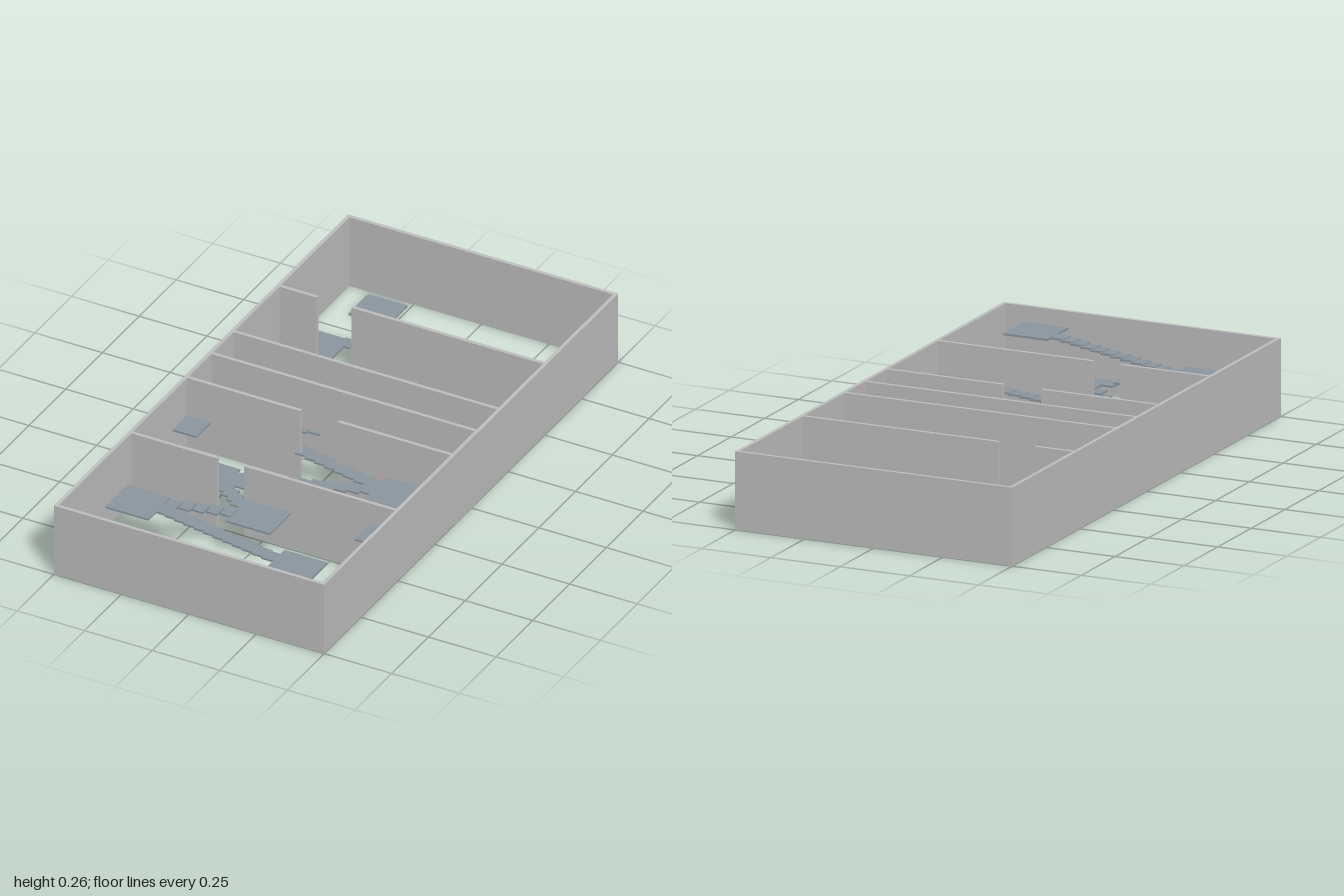
import * as THREE from 'three';

export function createModel() {
  const model = new THREE.Group();
  const wallGrey = new THREE.MeshStandardMaterial({ color: 0xbdbdbd });
  wallGrey.name = 'wallGrey';
  const slateGrey = new THREE.MeshStandardMaterial({ color: 0x8b969e });
  slateGrey.name = 'slateGrey';

  const H = 0.265; // wall height
  const T = 0.013; // wall thickness
  const SLAB = 0.007; // platform and tread thickness

  // Box given by its extents on each axis
  function box(name, material, x0, x1, y0, y1, z0, z1, parent = model) {
    const mesh = new THREE.Mesh(new THREE.BoxGeometry(x1 - x0, y1 - y0, z1 - z0), material);
    mesh.position.set((x0 + x1) / 2, (y0 + y1) / 2, (z0 + z1) / 2);
    mesh.name = name;
    parent.add(mesh);
  }

  // Open outer enclosure
  box('leftWall', wallGrey, 0.5 - T, 0.5, 0, H, -1, 1);
  box('rightWall', wallGrey, -0.5, -0.5 + T, 0, H, -1, 1);
  box('frontWall', wallGrey, -0.5 + T, 0.5 - T, 0, H, 1 - T, 1);
  box('backWall', wallGrey, -0.5 + T, 0.5 - T, 0, H, -1, -1 + T);

  // Partitions: z centre, then the doorway's x range if there is one
  const inner = 0.5 - T;
  const partitions = [
    [-0.517, -0.35, -0.22],
    [-0.205],
    [-0.055],
    [0.11, -0.07, 0.07],
    [0.49, -0.17, -0.07],
  ];
  for (const [z, d0, d1] of partitions) {
    const spans = d0 === undefined ? [[-inner, inner]] : [[-inner, d0], [d1, inner]];
    for (const [a, b] of spans) box('partition', wallGrey, a, b, 0, H, z - T / 2, z + T / 2);
  }

  // Platforms: x range, z range, height of the top
  const platforms = [
    [-0.405, -0.26, -0.963, -0.83, 0.008],
    [-0.24, -0.095, -0.815, -0.68, 0.014],
    [-0.48, -0.315, -0.675, -0.525, 0.02],
    [-0.24, -0.095, -0.5, -0.365, 0.055],
    [0.24, 0.42, -0.4, -0.235, 0.068],
    [-0.05, 0.115, -0.2, -0.06, 0.075],
    [-0.41, -0.25, -0.05, 0.105, 0.095],
    [0.25, 0.41, 0.115, 0.27, 0.108],
    [-0.49, -0.4, 0.115, 0.215, 0.122],
    [-0.35, -0.18, 0.32, 0.465, 0.122],
    [0.4, 0.49, 0.4, 0.485, 0.155],
    [0.4, 0.49, 0.5, 0.605, 0.19],
    [-0.05, 0.115, 0.515, 0.66, 0.155],
    [-0.41, -0.25, 0.665, 0.815, 0.186],
    [0.25, 0.41, 0.81, 0.965, 0.218],
  ];
  for (const [x0, x1, z0, z1, y] of platforms) {
    box('platform', slateGrey, x0, x1, y - SLAB, y, z0, z1);
  }

  // Stairs: start x, z, end x, z, and the two platforms they join
  const stairs = [
    [-0.27, -0.84, -0.22, -0.79, 0, 1],
    [-0.24, -0.7, -0.33, -0.65, 1, 2],
    [-0.095, -0.44, 0.24, -0.345, 3, 4],
    [0.24, -0.25, 0.115, -0.17, 4, 5],
    [-0.05, -0.09, -0.25, -0.01, 5, 6],
    [-0.25, 0.045, 0.25, 0.175, 6, 7],
    [0.25, 0.2, -0.18, 0.37, 7, 9],
    [-0.18, 0.39, 0.4, 0.455, 9, 10],
    [-0.18, 0.43, -0.05, 0.55, 9, 12],
    [-0.05, 0.6, -0.25, 0.7, 12, 13],
    [-0.25, 0.735, 0.25, 0.865, 13, 14],
  ];
  for (const [x0, z0, x1, z1, from, to] of stairs) {
    const flight = new THREE.Group();
    flight.name = 'stairs';
    const steps = Math.max(3, Math.round(Math.hypot(x1 - x0, z1 - z0) / 0.043));
    const half = Math.abs(x1 - x0) / steps / 2 + 0.005;
    for (let i = 0; i < steps; i++) {
      const t = (i + 0.5) / steps;
      const x = x0 + (x1 - x0) * t;
      const z = z0 + (z1 - z0) * t;
      const y = platforms[from][4] + (platforms[to][4] - platforms[from][4]) * t;
      box('tread', slateGrey, x - half, x + half, y - SLAB, y, z - 0.024, z + 0.024, flight);
    }
    model.add(flight);
  }
  return model;
}
